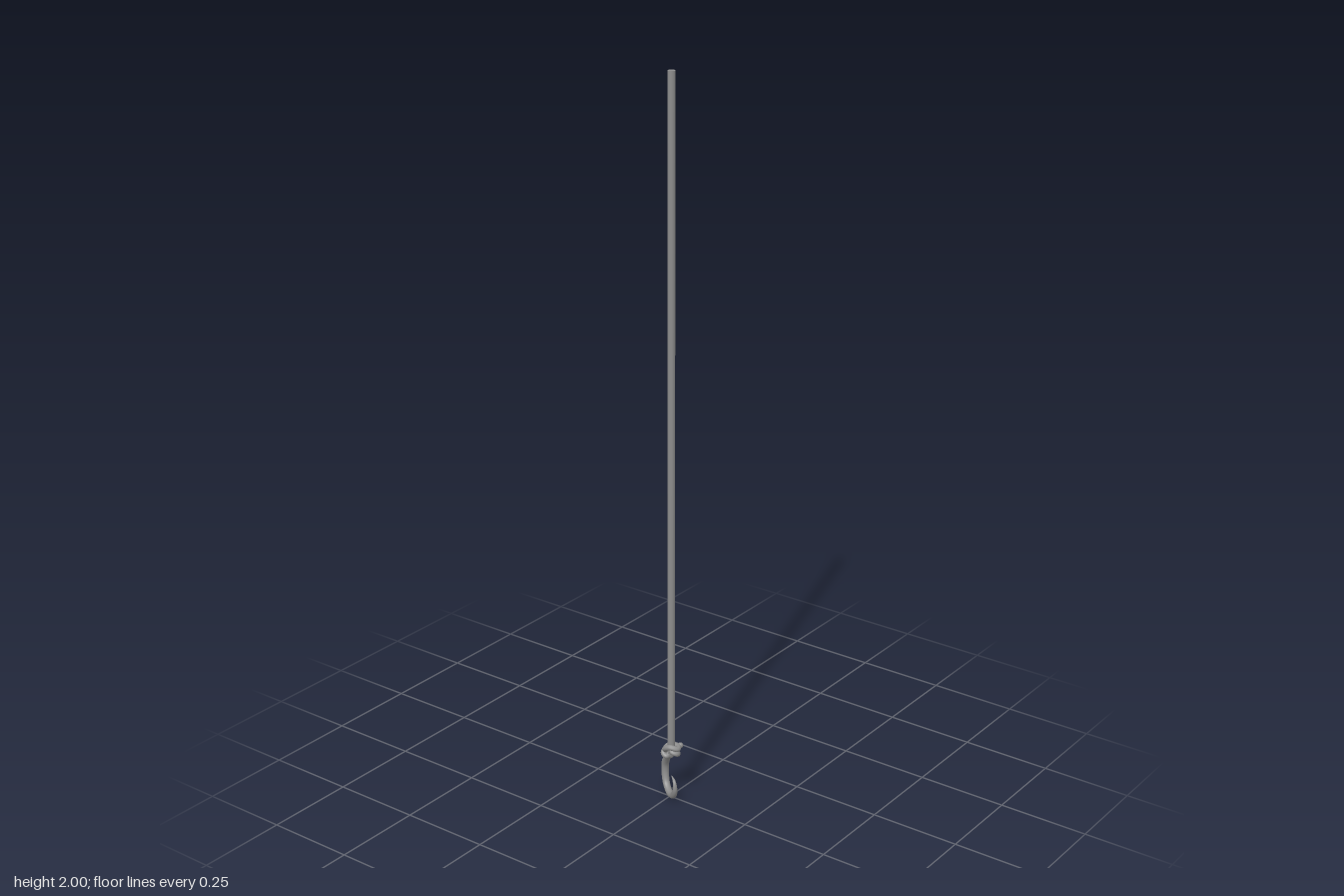
import * as THREE from 'three';

const material = new THREE.MeshStandardMaterial({ color: 0x8c8c8c });

// Round tube through points, with a radius that may vary along its length; ends capped
function taperedTube(name, points, radiusAt, segments, sides = 12) {
  const curve = new THREE.CatmullRomCurve3(points.map(p => new THREE.Vector3(...p)));
  const geometry = new THREE.TubeGeometry(curve, segments, 1, sides);
  const pos = geometry.attributes.position;
  const v = new THREE.Vector3();
  for (let i = 0; i <= segments; i++) {
    const c = curve.getPointAt(i / segments);
    for (let j = 0; j <= sides; j++) {
      const k = i * (sides + 1) + j;
      v.fromBufferAttribute(pos, k).sub(c).multiplyScalar(radiusAt(i / segments)).add(c);
      pos.setXYZ(k, v.x, v.y, v.z);
    }
  }
  const group = new THREE.Group();
  group.name = name;
  group.add(new THREE.Mesh(geometry, material));
  for (const t of [0, 1]) {
    const cap = new THREE.Mesh(new THREE.SphereGeometry(radiusAt(t), sides, 6), material);
    cap.position.copy(curve.getPointAt(t));
    group.add(cap);
  }
  return group;
}

export function createModel() {
  const model = new THREE.Group();
  model.name = 'ropeWithHook';

  // Long straight rope
  const rope = new THREE.Mesh(new THREE.CylinderGeometry(0.0098, 0.0098, 1.86, 12), material);
  rope.name = 'rope';
  rope.position.set(0.009, 1.07, 0.006);
  model.add(rope);

  // Knot: the rope passes the eye, wraps round itself and ends in a short tail
  model.add(taperedTube('knot', [
    [0.009, 0.165, 0.006], [0.006, 0.145, 0.004], [-0.002, 0.13, 0.012],
    [-0.012, 0.136, 0.013], [-0.008, 0.154, -0.001], [0.008, 0.16, -0.006],
    [0.026, 0.16, -0.003], [0.03, 0.159, 0.007], [0.013, 0.163, 0.018],
    [-0.004, 0.154, 0.016], [-0.009, 0.14, 0.002], [0.002, 0.132, -0.013],
    [0.02, 0.136, -0.008], [0.027, 0.143, 0.006], [0.015, 0.148, 0.012],
    [0.013, 0.152, -0.004], [0.025, 0.16, -0.014]
  ], () => 0.0078, 140, 10));

  // Hook: eye, shank and bend in one upright plane, tapering to the point
  const hook = new THREE.Group();
  hook.name = 'hook';
  hook.rotation.y = -0.6;
  hook.add(taperedTube('hookBend', [
    [0.006, 0.137, 0], [-0.012, 0.121, 0], [-0.029, 0.102, 0], [-0.04, 0.08, 0],
    [-0.04, 0.052, 0], [-0.028, 0.024, 0], [-0.001, 0.01, 0], [0.027, 0.018, 0],
    [0.042, 0.042, 0], [0.037, 0.064, 0], [0.015, 0.072, 0]
  ], t => t < 0.65 ? 0.009 + 0.0015 * Math.sin(Math.PI * t / 0.65)
    : 0.009 - 0.008 * ((t - 0.65) / 0.35) ** 2, 80));
  const eye = new THREE.Mesh(new THREE.TorusGeometry(0.011, 0.006, 10, 24), material);
  eye.name = 'hookEye';
  eye.position.set(0.006, 0.141, 0);
  hook.add(eye);
  model.add(hook);

  return model;
}
